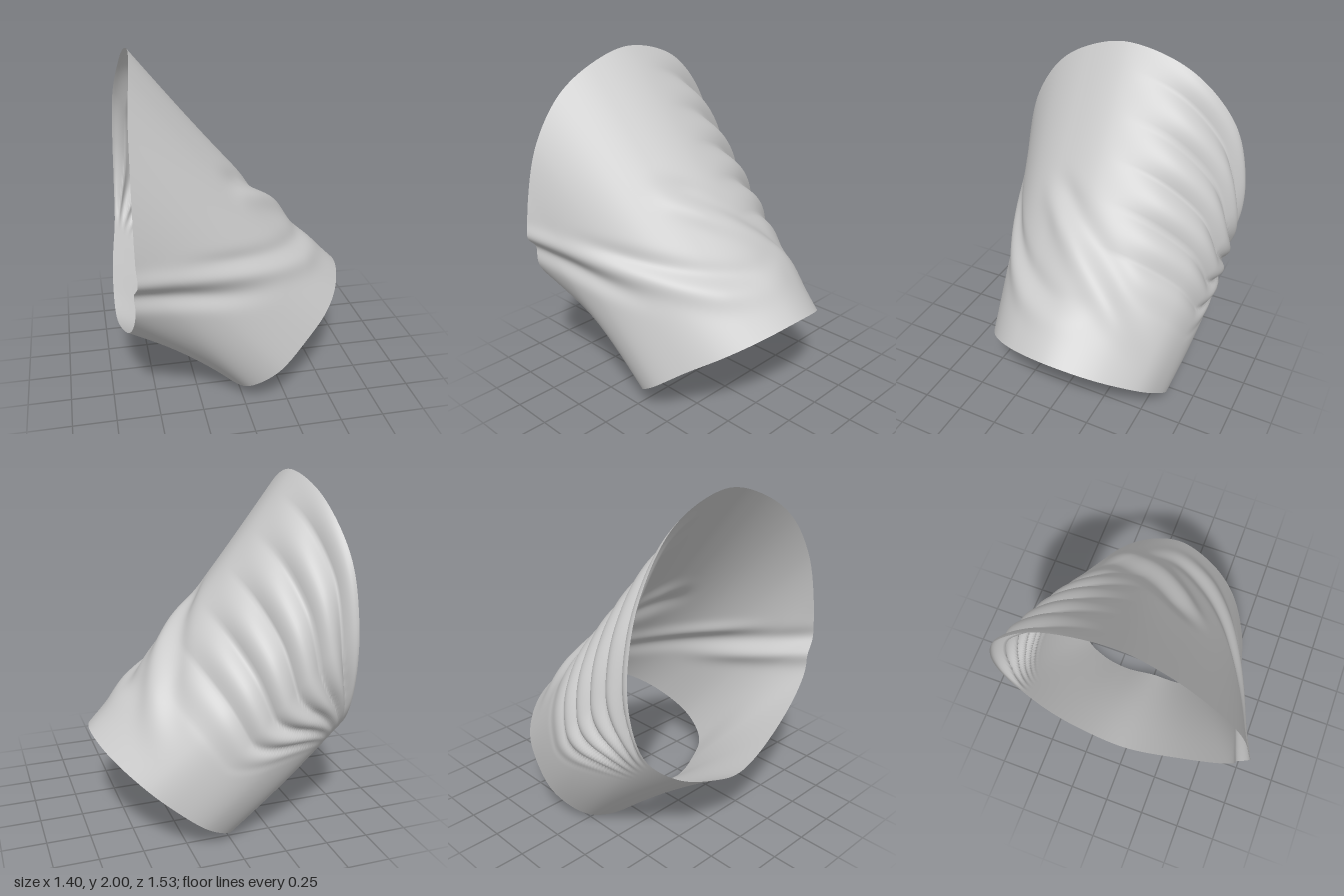
import * as THREE from 'three';

const V = (p) => new THREE.Vector3(...p);
const loop = (pts) => new THREE.CatmullRomCurve3(pts.map(V), true, 'centripetal');
const smooth = THREE.MathUtils.smoothstep;
const gauss = (d, w) => Math.exp(-(d * d) / (w * w));
// signed distance between two positions on the 16-step loop
const around = (u, c) => { const d = (((u - c) % 16) + 16) % 16; return d > 8 ? d - 16 : d; };

// both openings start at the top and run front, underarm, back
const armhole = loop([
  [-0.55, 2.0, 0], [-0.57, 1.93, 0.27], [-0.6, 1.78, 0.49], [-0.615, 1.53, 0.655],
  [-0.62, 1.24, 0.735], [-0.62, 1.0, 0.755], [-0.63, 0.74, 0.67], [-0.655, 0.51, 0.4],
  [-0.695, 0.4, 0.04], [-0.695, 0.46, -0.22], [-0.675, 0.57, -0.46], [-0.64, 0.75, -0.65],
  [-0.625, 1.02, -0.73], [-0.62, 1.3, -0.73], [-0.61, 1.61, -0.635], [-0.57, 1.89, -0.37]]);
const cuff = loop([
  [0.7, 0.595, -0.1], [0.64, 0.55, 0.15], [0.53, 0.475, 0.33], [0.37, 0.37, 0.46],
  [0.18, 0.225, 0.54], [0.03, 0.12, 0.49], [-0.04, 0.05, 0.33], [-0.08, 0.03, 0.18],
  [-0.09, 0.05, 0], [-0.1, 0.015, -0.2], [-0.07, 0.005, -0.38], [0, 0.04, -0.53],
  [0.17, 0.15, -0.63], [0.34, 0.285, -0.625], [0.49, 0.41, -0.56], [0.64, 0.535, -0.36]]);

// smooth cloth between the openings
function base(u, s) {
  const t = (((u / 16) % 1) + 1) % 1;
  const p = armhole.getPoint(t).lerp(cuff.getPoint(t), s);
  const belly = Math.sin(Math.PI * s);
  p.y -= 0.05 * belly * gauss(around(u, 0), 2.5);
  p.y += 0.015 * belly * gauss(around(u, 8), 2);
  p.z -= belly * (0.028 * gauss(around(u, 5), 2) + 0.04 * gauss(around(u, 12.5), 2.5));
  return p;
}

// height of the creases above the smooth cloth
function folds(u, s, p) {
  // gathers on the back, converging at the underarm
  const spread = 0.35 + 0.75 * smooth(u, 10.5, 13);
  const k = s / spread;
  const window = smooth(u, 10.8, 12.1) * (1 - smooth(u, 14.4, 15.9)) * (1 - smooth(k, 0.42, 0.72));
  let h = 0.05 * window * (Math.abs(Math.sin(Math.PI * (k / 0.118 + 0.35))) - 0.68);

  // long drag fold from the front of the armhole to the top of the cuff
  const d1 = p.y - (0.9 - 0.22 * (p.x + 0.2));
  const front = smooth(p.z, -0.3, 0.05) * (1 - smooth(p.x, 0.4, 0.65));
  h += front * 0.02 * gauss(d1, 0.055);
  h -= front * 0.018 * smooth(p.x, -0.45, 0) * gauss(d1 - 0.085, 0.045);
  h -= front * 0.035 * (1 - smooth(p.x, -0.3, 0.25)) * gauss(d1 + 0.1, 0.06);

  // shorter fold over the outer arm
  const d2 = 0.86 * (p.y - (1.085 + 0.6 * p.z - 0.5 * p.z * p.z));
  const outer = smooth(p.z, -0.58, -0.3) * (1 - smooth(p.z, 0.08, 0.36)) * smooth(p.x, -0.15, 0.05);
  return h + outer * (0.028 * gauss(d2, 0.065) - 0.02 * gauss(d2 - 0.11, 0.06));
}

function surface(u, s) {
  const e = 0.02;
  const du = base(u + e, s).sub(base(u - e, s));
  const ds = base(u, s + e).sub(base(u, s - e));
  const p = base(u, s);
  return p.addScaledVector(du.cross(ds).normalize(), folds(u, s, p));
}

export function createModel() {
  const NU = 224, NS = 96, pos = [], index = [];
  for (let j = 0; j <= NS; j++)
    for (let i = 0; i < NU; i++) pos.push(...surface((i / NU) * 16, j / NS).toArray());
  for (let j = 0; j < NS; j++)
    for (let i = 0; i < NU; i++) {
      const a = j * NU + i, b = j * NU + ((i + 1) % NU);
      index.push(a, b, a + NU, b, b + NU, a + NU);
    }
  const geo = new THREE.BufferGeometry();
  geo.setAttribute('position', new THREE.Float32BufferAttribute(pos, 3));
  geo.setIndex(index);
  geo.computeVertexNormals();

  const sleeve = new THREE.Mesh(geo, new THREE.MeshStandardMaterial({ color: 0xcccccc, side: THREE.DoubleSide }));
  sleeve.name = 'sleeve';
  const group = new THREE.Group();
  group.name = 'shortSleeve';
  group.add(sleeve);
  return group;
}
